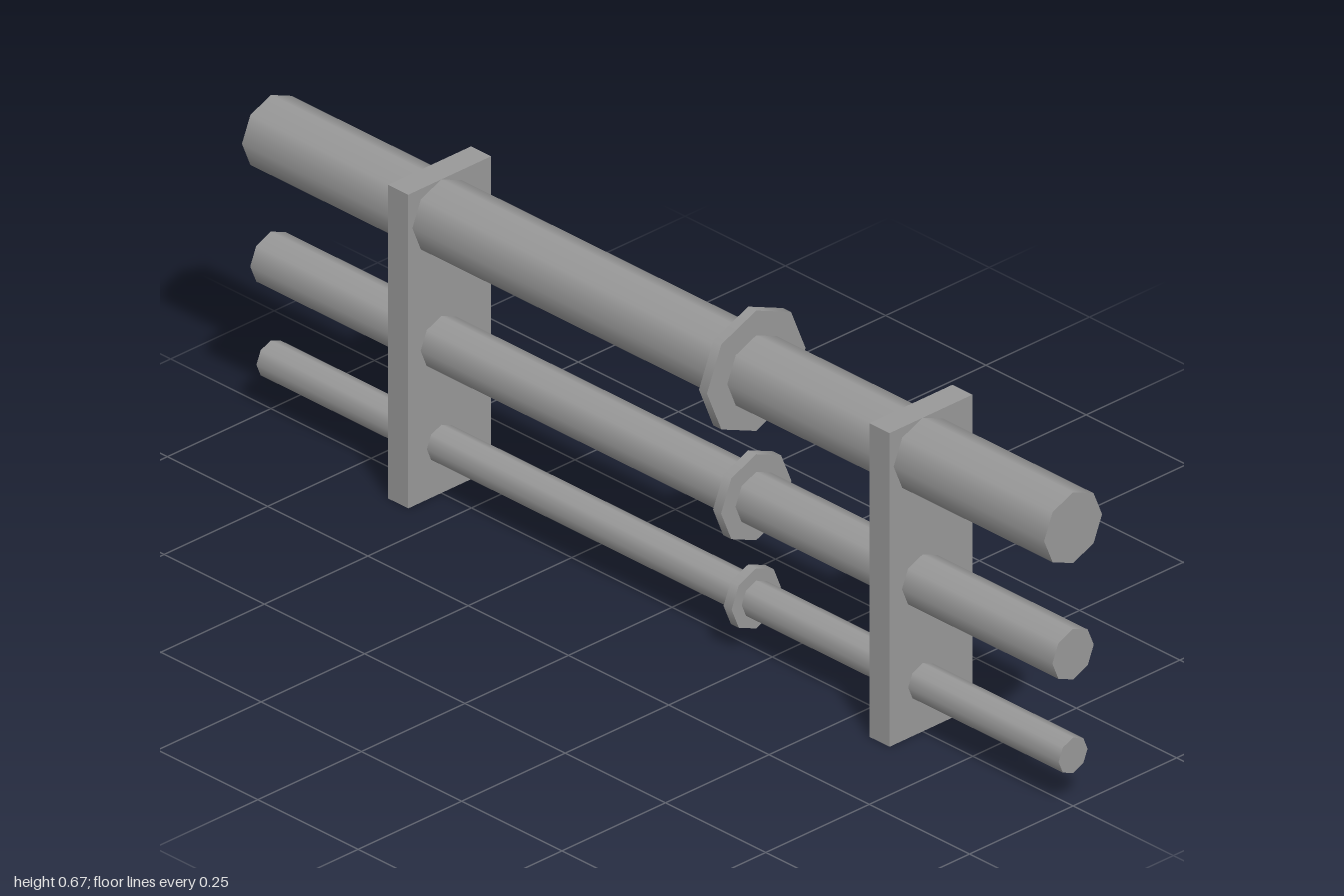
import * as THREE from 'three';

export function createModel() {
  const model = new THREE.Group();
  const steel = new THREE.MeshStandardMaterial({ color: 0x999999 });
  steel.name = 'grey steel';

  const add = (name, geometry, x, y, z) => {
    const mesh = new THREE.Mesh(geometry, steel);
    mesh.name = name;
    mesh.position.set(x, y, z);
    model.add(mesh);
  };

  // Eight-sided rod lying along x, smooth around its side
  const rod = (radius, length) =>
    new THREE.CylinderGeometry(radius, radius, length, 8).rotateZ(-Math.PI / 2);

  // Three pipes of growing size, each with a joint flange
  const pipes = [
    { size: 'small', y: 0.1, radius: 0.035 },
    { size: 'medium', y: 0.3, radius: 0.05 },
    { size: 'large', y: 0.55, radius: 0.07 },
  ];
  for (const { size, y, radius } of pipes) {
    add(`${size}Pipe`, rod(radius, 2), 0, y, 0);
    add(`${size}Flange`, rod(radius * 1.7, 0.02), 0.2, y, 0);
  }

  // Upright support plates, set slightly towards the back
  for (const [name, x] of [['leftSupport', 0.6], ['rightSupport', -0.6]]) {
    add(name, new THREE.BoxGeometry(0.05, 0.62, 0.2), x, 0.31, -0.02);
  }

  return model;
}
